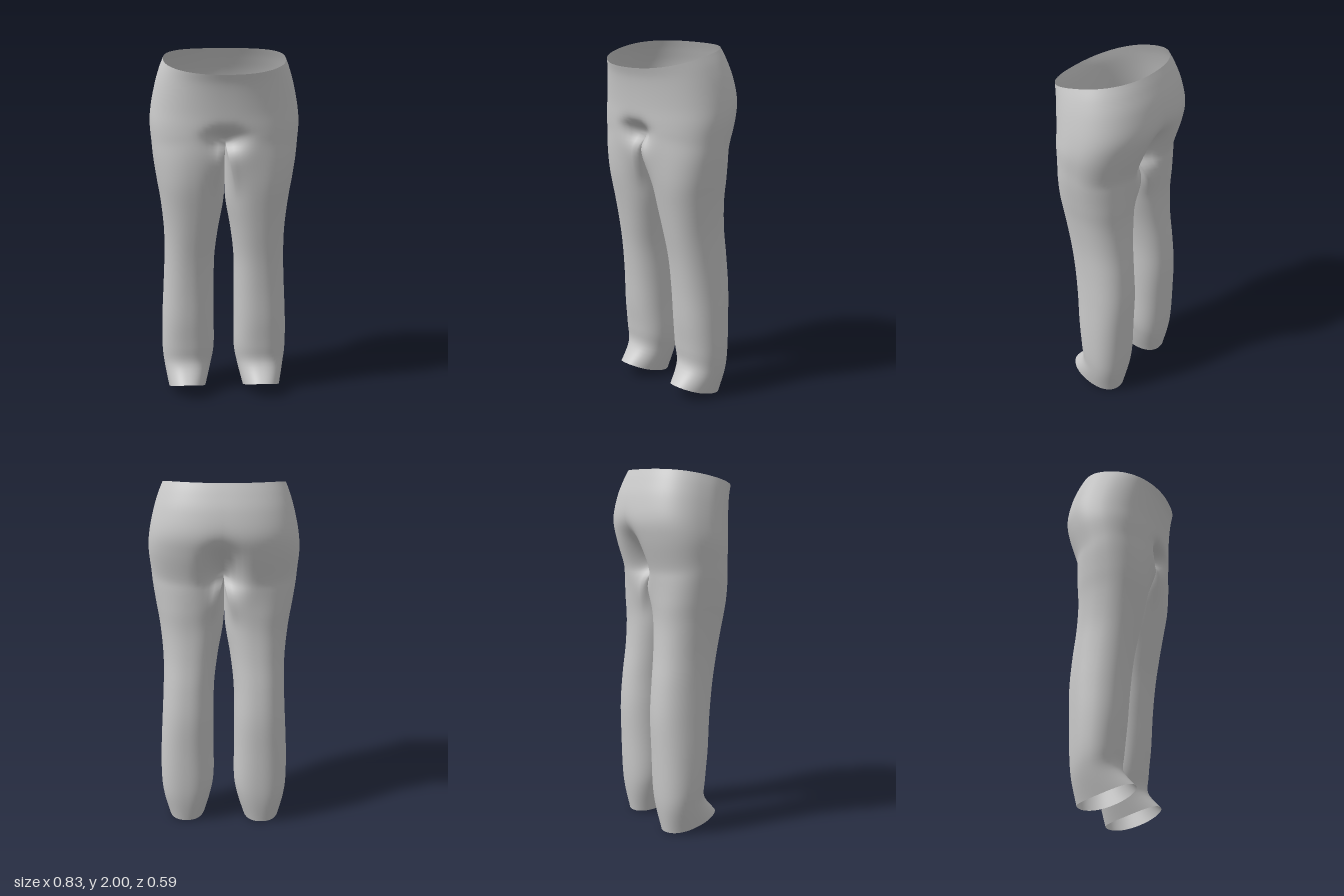
import * as THREE from 'three';
import { mergeVertices, mergeGeometries } from 'three/addons/utils/BufferGeometryUtils.js';

// Key sections, waist to hem: yBack, yFront, xOuter, xInner, zFront, zBack
const ROWS = [
  [2.00, 1.90, 0.335, 0, 0.298, -0.218],
  [1.94, 1.85, 0.358, 0, 0.282, -0.245],
  [1.85, 1.78, 0.383, 0, 0.27, -0.277],
  [1.73, 1.69, 0.406, 0, 0.26, -0.296],
  [1.62, 1.61, 0.415, 0, 0.256, -0.274],
  [1.48, 1.55, 0.406, 0, 0.252, -0.23],
  [1.40, 1.45, 0.398, 0, 0.243, -0.212],
  [1.29, 1.32, 0.381, 0, 0.222, -0.194],
  [1.17, 1.18, 0.361, 0.006, 0.194, -0.182],
  [1.00, 1.00, 0.345, 0.036, 0.16, -0.19],
  [0.83, 0.83, 0.345, 0.056, 0.13, -0.208],
  [0.65, 0.65, 0.353, 0.059, 0.109, -0.219],
  [0.45, 0.46, 0.363, 0.06, 0.094, -0.212],
  [0.25, 0.30, 0.365, 0.06, 0.076, -0.203],
  [0.13, 0.19, 0.353, 0.08, 0.073, -0.19],
  [0.0, 0.092, 0.328, 0.112, 0.15, -0.163],
];
const CROTCH = 5, SUB = 5, OUTER = 44, INNER = 16, SEAM = 0.9;

const { lerp, clamp, smoothstep } = THREE.MathUtils;
const power = (v, e) => Math.sign(v) * Math.abs(v) ** e;
const bell = (v, width) => Math.exp(-((v / width) ** 2));

// Smooth interpolation between the key sections
function sampleRow(level) {
  const i = Math.min(Math.floor(level), ROWS.length - 2), t = level - i;
  const at = k => ROWS[clamp(k, 0, ROWS.length - 1)];
  return ROWS[i].map((p, k) => {
    const q = at(i + 1)[k], t2 = t * t, t3 = t2 * t;
    const m0 = (q - at(i - 1)[k]) / 2, m1 = (at(i + 2)[k] - p) / 2;
    return p * (2 * t3 - 3 * t2 + 1) + m0 * (t3 - 2 * t2 + t) + q * (3 * t2 - 2 * t3) + m1 * (t3 - t2);
  });
}

// Point j of a ring: front seam, round the outside, back seam, then the inner thigh
function ringPoint(level, j) {
  const [yB, yF, xo, xi, zf, zb] = sampleRow(level);
  const cz = (zf + zb) / 2, rz = (zf - zb) / 2;
  const outside = j <= OUTER;

  // pelvis outline, with a valley along the centre line
  const dipF = 0.09 * bell(level - CROTCH, 0.8), dipB = 0.13 * bell(level - CROTCH, 1.2);
  let px = 0, pz = lerp(zb + dipB, zf - dipF, (j - OUTER) / INNER);
  if (outside) {
    const a = Math.PI * j / OUTER, c = Math.cos(a);
    px = xo * Math.abs(Math.sin(a)) ** 0.88;
    pz = cz + rz * power(c, 0.85) - (c > 0 ? dipF : -dipB) * bell(px, 0.085);
  }

  // leg outline
  const phi = outside
    ? lerp(SEAM, 2 * Math.PI - SEAM, j / OUTER)
    : lerp(-SEAM, SEAM, (j - OUTER) / INNER);
  const lx = (xo + xi) / 2 - (xo - xi) / 2 * power(Math.cos(phi), 0.88);
  const lz = cz + rz * power(Math.sin(phi), 0.88);

  // the pelvis blends into the leg below the crotch
  const w = 1 - smoothstep(level, CROTCH, CROTCH + 3);
  const x = lerp(lx, px, w), z = lerp(lz, pz, w);
  const f = clamp((z - zb) / (zf - zb), 0, 1);
  return [level > CROTCH ? Math.max(x, 0.001) : x, lerp(yB, yF, f ** 1.6), z];
}

function halfGeometry(side) {
  const positions = [], index = [];
  const ring = OUTER + INNER, levels = (ROWS.length - 1) * SUB;
  for (let i = 0; i <= levels; i++) {
    for (let j = 0; j <= ring; j++) {
      const [x, y, z] = ringPoint(i / SUB, j % ring);
      positions.push(x * side, y, z);
    }
  }
  for (let i = 0; i < levels; i++) {
    const count = i < CROTCH * SUB ? OUTER : ring;
    for (let j = 0; j < count; j++) {
      const a = i * (ring + 1) + j, b = a + 1, c = a + ring + 1, d = c + 1;
      if (side > 0) index.push(a, c, b, b, c, d);
      else index.push(a, b, c, b, d, c);
    }
  }
  const geometry = new THREE.BufferGeometry();
  geometry.setAttribute('position', new THREE.Float32BufferAttribute(positions, 3));
  geometry.setIndex(index);
  return geometry;
}

export function createModel() {
  const cloth = new THREE.MeshStandardMaterial({ color: 0xc8c8c8, side: THREE.DoubleSide });
  cloth.name = 'grey cloth';

  // both halves are welded so the centre seam shades smoothly
  const geometry = mergeVertices(mergeGeometries([halfGeometry(1), halfGeometry(-1)]), 1e-4);
  geometry.computeVertexNormals();
  const trousers = new THREE.Mesh(geometry, cloth);
  trousers.name = 'trousers';

  const group = new THREE.Group();
  group.name = 'trousersModel';
  group.add(trousers);
  return group;
}
